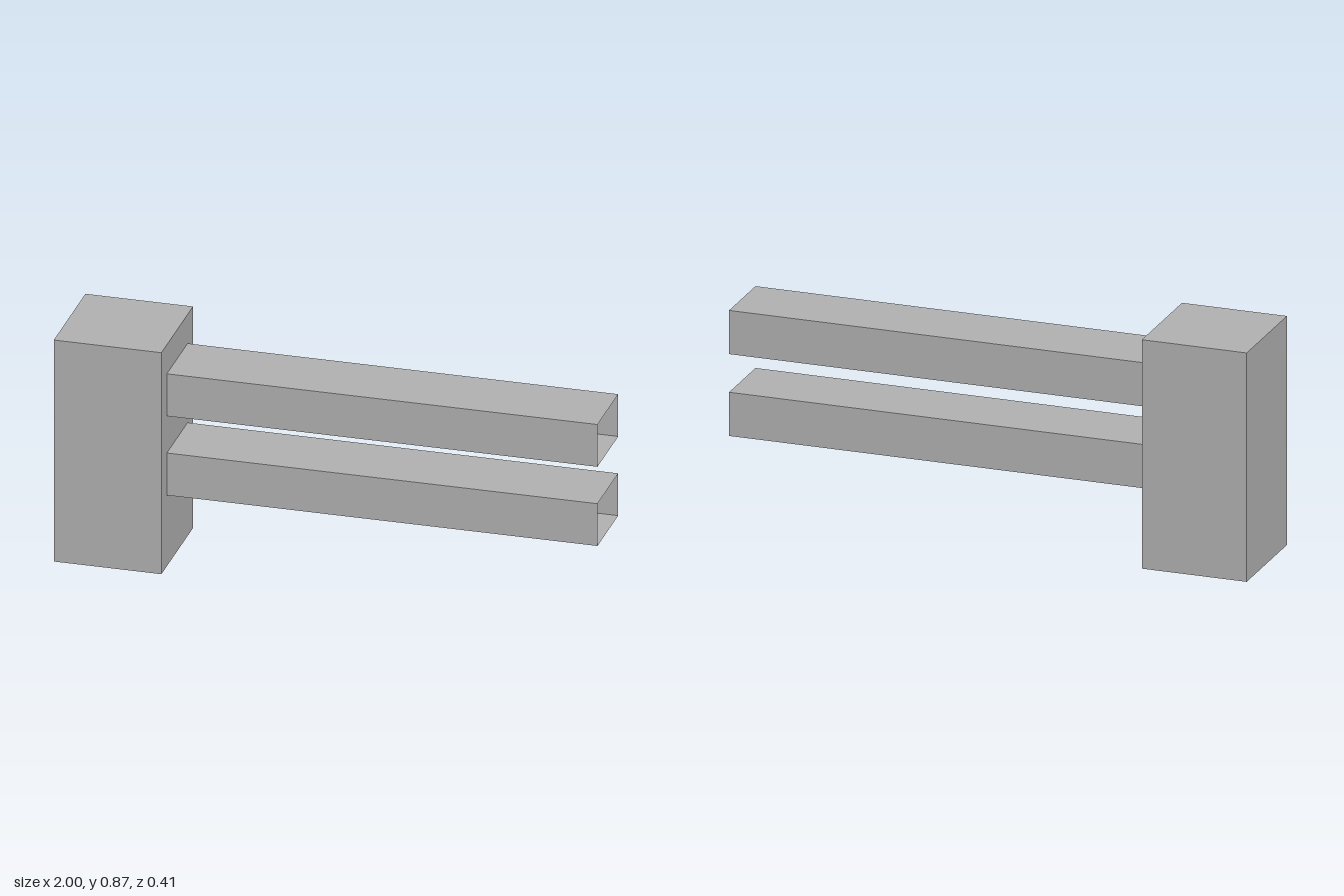
import * as THREE from 'three';

// Box with some faces left open; sides are numbered +x, -x, +y, -y, +z, -z
function openBox(width, height, depth, openSides) {
  const geometry = new THREE.BoxGeometry(width, height, depth);
  const index = Array.from(geometry.index.array);
  geometry.setIndex(index.filter((_, i) => !openSides.includes(Math.floor(i / 6))));
  geometry.clearGroups();
  return geometry;
}

export function createModel() {
  const model = new THREE.Group();
  model.name = 'fenceSection';
  const grey = new THREE.MeshStandardMaterial({ color: 0xb2b2b2, side: THREE.DoubleSide });
  grey.name = 'grey';

  // Upright post, hollow and open underneath
  const post = new THREE.Mesh(openBox(0.4, 0.87, 0.414, [3]), grey);
  post.name = 'post';
  post.position.set(-0.8, 0.435, 0);
  model.add(post);

  // Two hollow rails, open at both ends, butting against the post
  const railGeometry = openBox(1.6, 0.166, 0.272, [0, 1]);
  for (const [name, y] of [['lowerRail', 0.362], ['upperRail', 0.673]]) {
    const rail = new THREE.Mesh(railGeometry, grey);
    rail.name = name;
    rail.position.set(0.2, y, 0);
    model.add(rail);
  }
  return model;
}
